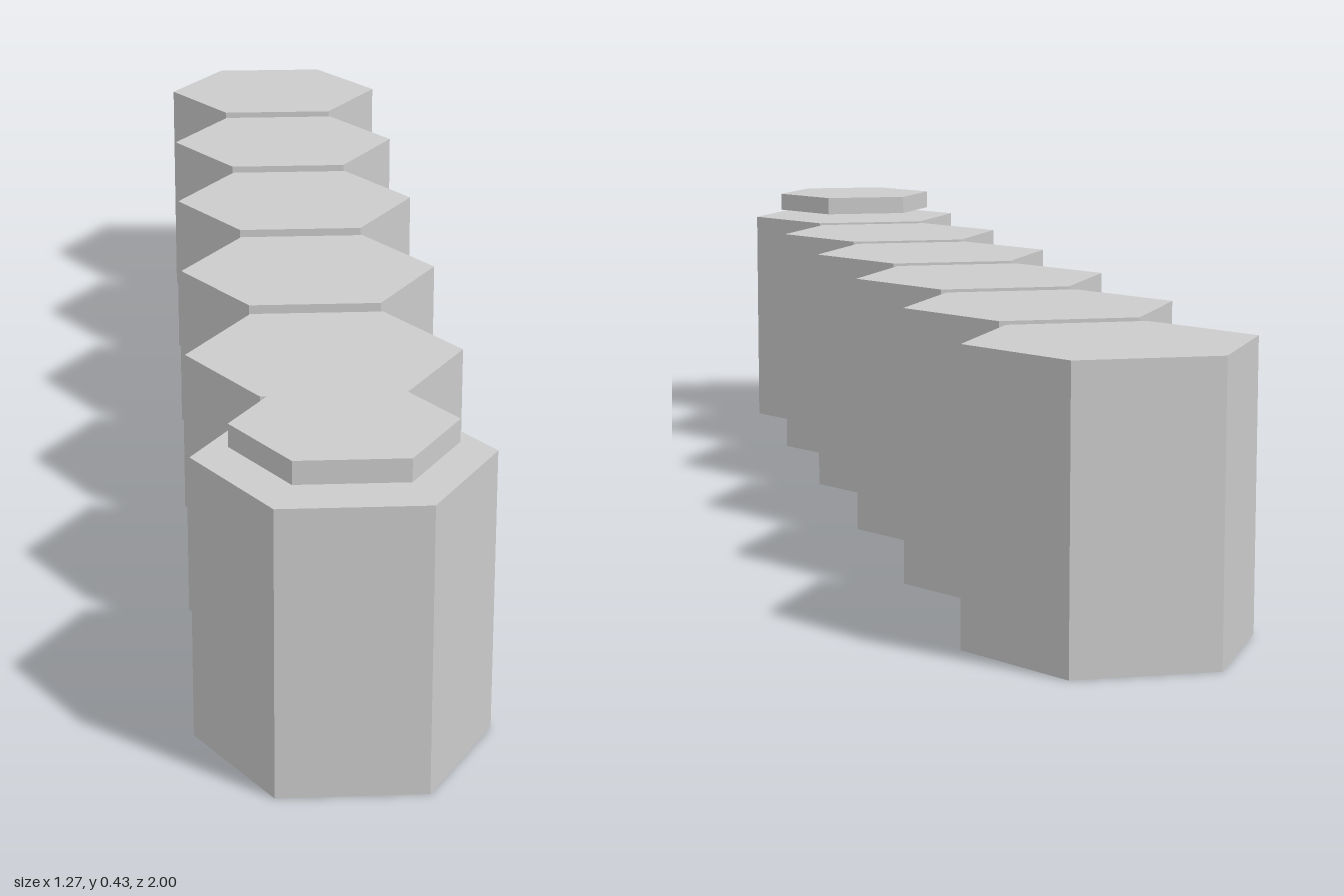
import * as THREE from 'three';

const COUNT = 6;
const RADIUS = 0.193, HEIGHT = 0.388;
const END_X = 0.466, END_Z = 0.807;

const material = new THREE.MeshStandardMaterial({ color: 0xcccccc, flatShading: true });

// Upright hexagonal prism with a corner facing +z, standing on y = base
function hexPrism(name, radius, height, x, base, z) {
  const mesh = new THREE.Mesh(new THREE.CylinderGeometry(radius, radius, height, 6), material);
  mesh.name = name;
  mesh.position.set(x, base + height / 2, z);
  return mesh;
}

export function createModel() {
  const group = new THREE.Group();
  group.name = 'hexColumnRow';

  // Diagonal row of columns, back right to front left
  for (let i = 0; i < COUNT; i++) {
    const t = (2 * i) / (COUNT - 1) - 1;
    group.add(hexPrism(`column${i + 1}`, RADIUS, HEIGHT, t * END_X, 0, t * END_Z));
  }

  // Thin plate hovering just above the front column
  group.add(hexPrism('topPlate', 0.145, 0.031, END_X, 0.401, END_Z));

  return group;
}
